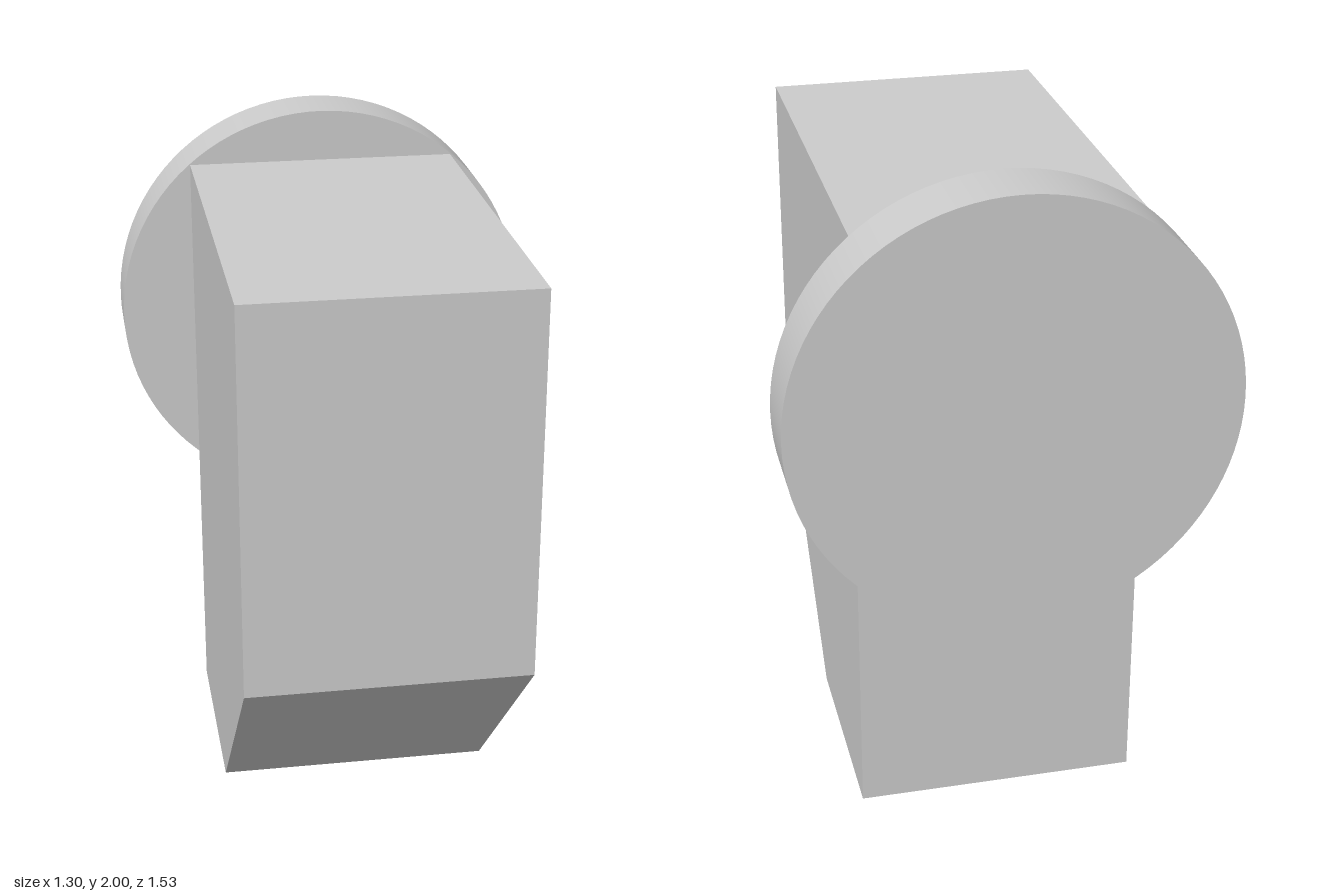
import * as THREE from 'three';

export function createModel() {
  const model = new THREE.Group();
  const material = new THREE.MeshStandardMaterial({ color: 0xcccccc });

  // Block with a sloped lower front: side profile as (z, y), extruded across x
  const width = 0.84;
  const profile = new THREE.Shape([
    [-0.565, 0], [0.1, 0], [0.767, 0.67], [0.767, 1.842], [-0.565, 1.842],
  ].map(([z, y]) => new THREE.Vector2(z, y)));
  const bodyGeometry = new THREE.ExtrudeGeometry(profile, { depth: width, bevelEnabled: false });
  bodyGeometry.translate(0, 0, -width / 2).rotateY(-Math.PI / 2);
  const body = new THREE.Mesh(bodyGeometry, material);
  body.name = 'body';
  model.add(body);

  // Round plate on the back
  const plateGeometry = new THREE.CylinderGeometry(0.65, 0.65, 0.202, 96);
  plateGeometry.rotateX(Math.PI / 2);
  const plate = new THREE.Mesh(plateGeometry, material);
  plate.name = 'backPlate';
  plate.position.set(0, 1.35, -0.666);
  model.add(plate);

  return model;
}
